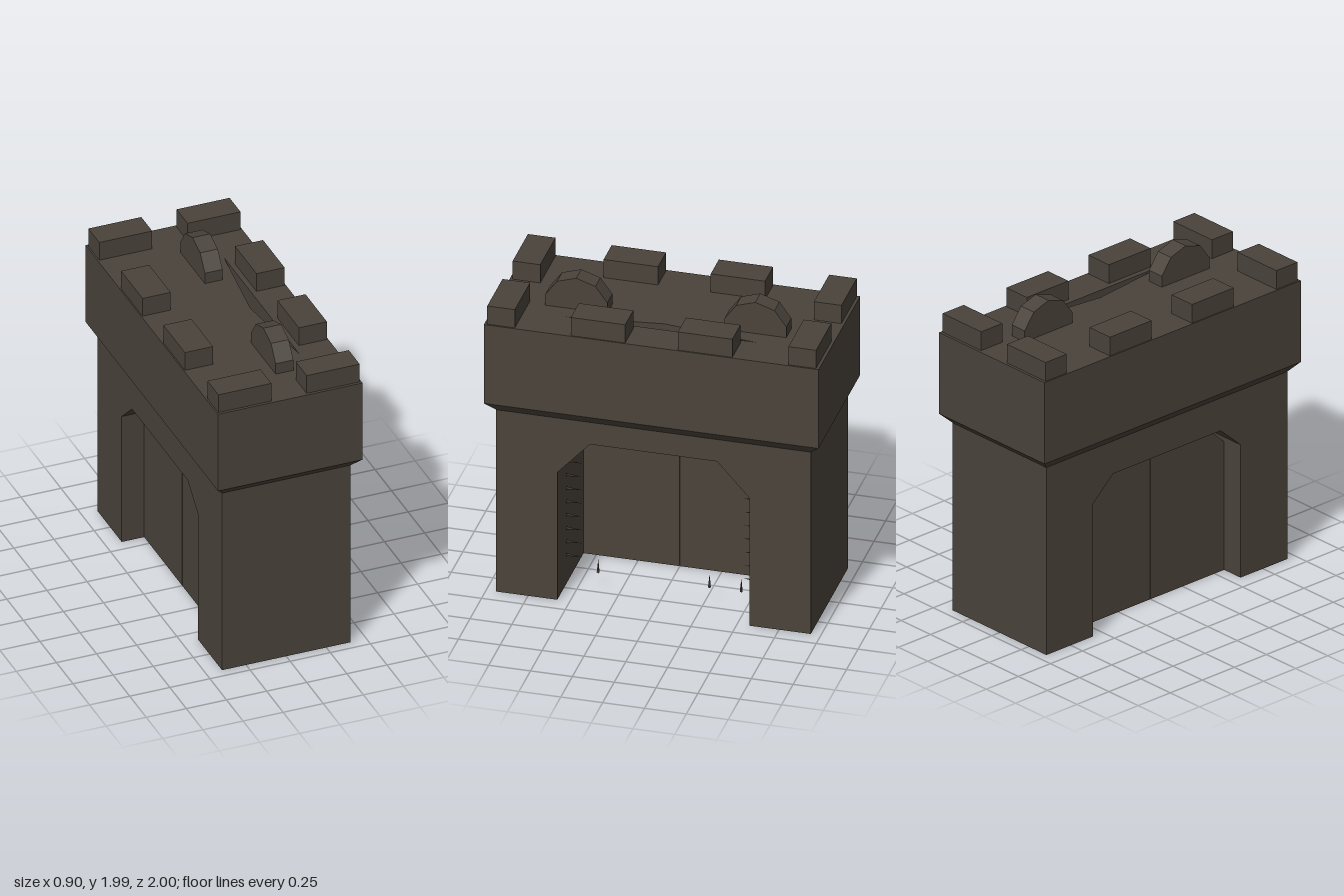
import * as THREE from 'three';

export function createModel() {
  const group = new THREE.Group();
  const stone = new THREE.MeshStandardMaterial({ color: 0x4a433b });
  stone.name = 'dark stone';

  const add = (name, geometry, x = 0, y = 0, z = 0) => {
    const mesh = new THREE.Mesh(geometry, stone);
    mesh.name = name;
    mesh.position.set(x, y, z);
    group.add(mesh);
    return mesh;
  };
  const shapeOf = (points) => new THREE.Shape(points.map(([a, b]) => new THREE.Vector2(a, b)));
  // profile in (z, y), pushed along x from x0 to x1
  const alongX = (points, x0, x1) =>
    new THREE.ExtrudeGeometry(shapeOf(points.map(([z, y]) => [-z, y])), { depth: x1 - x0, bevelEnabled: false })
      .rotateY(Math.PI / 2).translate(x0, 0, 0);
  // outline in (x, z), pushed from y0 up to y1
  const alongY = (shape, y0, y1) =>
    new THREE.ExtrudeGeometry(shape, { depth: y1 - y0, bevelEnabled: false })
      .rotateX(Math.PI / 2).translate(0, y1, 0);

  const slotBack = 0.165, slotFront = 0.235;

  // gatehouse walls with a chamfered archway, either side of the gate slot
  const wall = (springY, topZ, topY) => [
    [-0.94, 0], [-0.575, 0], [-0.575, springY], [-topZ, topY],
    [topZ, topY], [0.575, springY], [0.575, 0], [0.94, 0], [0.94, 1.2], [-0.94, 1.2],
  ];
  add('innerWall', alongX(wall(0.85, 0.42, 0.99), -0.4, slotBack));
  add('outerWall', alongX(wall(0.84, 0.38, 1.055), slotFront, 0.4));

  // piers and lintel pieces that narrow the slot
  for (const s of [-1, 1]) {
    add('slotPier', new THREE.BoxGeometry(slotFront - slotBack, 1.2, 0.365), 0.2, 0.6, s * 0.7575);
    add('slotLintel', alongY(shapeOf([[slotBack, 0], [slotBack, s * 0.575], [slotFront, s * 0.575]]), 1.0, 1.2));
  }

  // flared course under the crown
  const flare = new THREE.CylinderGeometry(Math.SQRT2, Math.SQRT2, 0.06, 4, 1, true, Math.PI / 4).toNonIndexed();
  const p = flare.attributes.position;
  for (let i = 0; i < p.count; i++) {
    const upper = p.getY(i) > 0;
    p.setX(i, Math.sign(p.getX(i)) * (upper ? 0.45 : 0.4));
    p.setZ(i, Math.sign(p.getZ(i)) * (upper ? 1 : 0.94));
  }
  flare.computeVertexNormals();
  add('flaredCourse', flare, 0, 1.23, 0);

  // crown block with the tapered gate slot open to the sky
  const roof = shapeOf([[-0.45, -1], [0.45, -1], [0.45, 1], [-0.45, 1]]);
  roof.holes.push(new THREE.Path([[slotFront, -0.57], [slotBack, 0], [slotFront, 0.57]]
    .map(([x, z]) => new THREE.Vector2(x, z))));
  add('crown', alongY(roof, 1.26, 1.78));

  // battlements
  for (const sx of [-1, 1]) {
    for (const sz of [-1, 1]) {
      add('cornerMerlon', new THREE.BoxGeometry(0.33, 0.12, 0.165), sx * 0.275, 1.84, sz * 0.9);
      add('sideMerlon', new THREE.BoxGeometry(0.175, 0.12, 0.325), sx * 0.355, 1.84, sz * 0.32);
    }
  }

  // ten-sided winch wheels sunk into the roof
  const wheel = new THREE.CylinderGeometry(0.195, 0.195, 0.11, 10).toNonIndexed();
  wheel.rotateZ(Math.PI / 2);
  wheel.computeVertexNormals();
  const lowest = 1.79;
  for (const s of [-1, 1]) {
    const w = add('winchWheel', wheel, 0.08, lowest, s * 0.535);
    // a corner points straight up
    w.rotation.x = Math.PI;
    w.rotation.x = wheelTurn(wheel);
  }

  // pair of door leaves with a hairline seam
  for (const s of [-1, 1]) {
    const leaf = [[0.002, 0], [0.575, 0], [0.575, 0.82], [0.4, 0.99], [0.002, 0.99]];
    add('doorLeaf', alongX(leaf.map(([z, y]) => [s * z, y]), -0.26, -0.17));
  }

  // small spikes lining the gate slot
  const spike = new THREE.ConeGeometry(0.01, 0.09, 3);
  for (const s of [-1, 1]) {
    for (let i = 0; i < 8; i++) {
      add('slotSpike', spike, 0.2, 0.19 + i * 0.088, s * 0.53).rotation.x = -s * Math.PI / 2;
    }
  }
  for (const z of [0.385, -0.28, -0.47]) add('lowSpike', spike, 0.2, 0.145, z);

  return group;
}

// angle about x that brings the rim corner nearest the top to the very top
function wheelTurn(geometry) {
  const p = geometry.attributes.position;
  let best = 0;
  for (let i = 1; i < p.count; i++) if (p.getY(i) > p.getY(best)) best = i;
  return -Math.atan2(p.getZ(best), p.getY(best));
}
